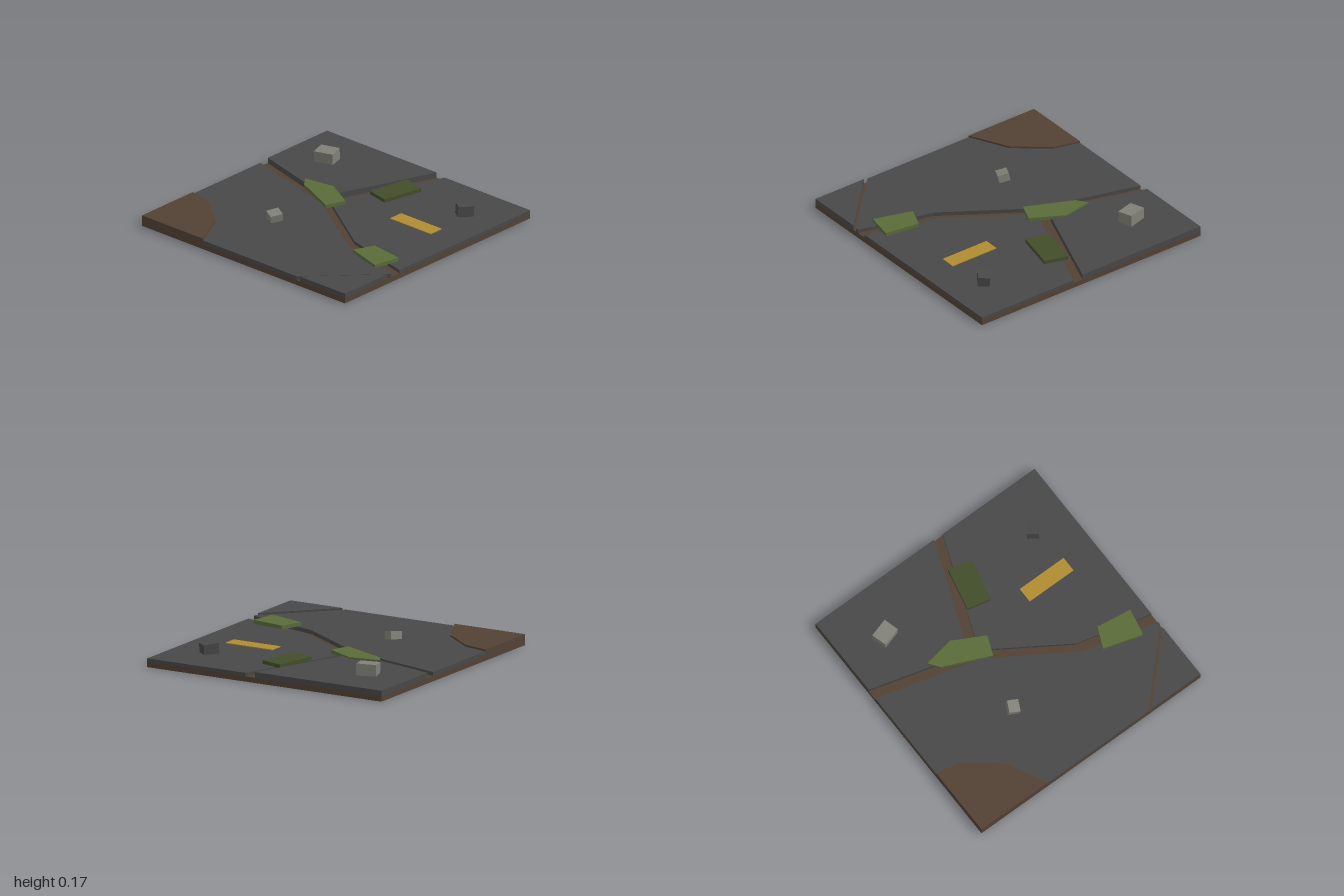
import * as THREE from 'three';

const mat = (name, color) => {
  const m = new THREE.MeshStandardMaterial({ color });
  m.name = name;
  return m;
};

export function createModel() {
  const group = new THREE.Group();
  const asphalt = mat('asphalt', 0x484848);
  const dirt = mat('dirt', 0x524234);
  const moss = mat('moss', 0x5a6b38);
  const darkMoss = mat('dark moss', 0x424d2a);
  const paint = mat('road paint', 0xb08c32);
  const concrete = mat('concrete', 0x808078);

  const add = (name, geometry, material) => {
    const mesh = new THREE.Mesh(geometry, material);
    mesh.name = name;
    group.add(mesh);
    return mesh;
  };

  // Upright prism over an outline of [x, z] points
  const prism = (name, outline, bottom, top, material) => {
    const shape = new THREE.Shape(outline.map(([x, z]) => new THREE.Vector2(x, -z)));
    const g = new THREE.ExtrudeGeometry(shape, { depth: top - bottom, bevelEnabled: false });
    g.rotateX(-Math.PI / 2).translate(0, bottom, 0);
    return add(name, g, material);
  };

  // Earth bed, seen at the bottom of the cracks
  const BED = 0.04;
  add('earthBed', new THREE.BoxGeometry(2, BED, 2).translate(0, BED / 2, 0), dirt);

  // Broken road slabs, settled at different heights
  prism('backRightSlab',
    [[-1, -1], [0.08, -1], [-0.245, -0.15], [-1, -0.36]], BED, 0.082, asphalt);
  prism('backLeftSlab',
    [[0.16, -1], [1, -1], [1, 0.41], [0.42, 0.26], [-0.17, -0.125]], BED, 0.066, asphalt);
  const patchEdge = [[-1, 0.45], [-0.8, 0.5], [-0.55, 0.7], [-0.4, 1]];
  prism('frontSlab',
    [[-1, -0.28], [-0.2, -0.06], [0.42, 0.34], [1, 0.49], [1, 0.515], [0.525, 1],
      ...[...patchEdge].reverse()], BED, 0.07, asphalt);
  prism('cornerSlab', [[1, 0.545], [1, 1], [0.555, 1]], BED, 0.078, asphalt);

  // Bare earth at the front corner
  prism('dirtPatch', [...patchEdge, [-1, 1]], BED, 0.084, dirt);

  // Moss growing over the cracks
  prism('middleMoss',
    [[-0.54, -0.26], [-0.3, -0.3], [-0.06, -0.17], [-0.12, -0.02], [-0.48, -0.18]], 0.066, 0.094, moss);
  prism('sideMoss', [[0.62, 0.26], [0.89, 0.3], [0.85, 0.51], [0.55, 0.42]], 0.066, 0.094, moss);
  prism('backMoss', [[0.02, -0.75], [0.2, -0.7], [0.13, -0.38], [-0.05, -0.42]], 0.064, 0.093, darkMoss);

  // Painted lane mark
  add('laneMark', new THREE.BoxGeometry(0.4, 0.008, 0.12).translate(0.55, 0.068, -0.26), paint);

  // Tilted rubble blocks: name, size, position, rotation, material
  [
    ['largeRubble', [0.15, 0.09, 0.12], [-0.655, 0.122, -0.62], [0.04, 0.28, 0.02], concrete],
    ['smallRubble', [0.085, 0.06, 0.095], [-0.25, 0.108, 0.39], [0.1, -0.45, -0.2], concrete],
    ['darkRubble', [0.088, 0.08, 0.12], [0.7, 0.105, -0.625], [-0.08, -0.62, 0.04], asphalt],
  ].forEach(([name, size, pos, rot, material]) => {
    const block = add(name, new THREE.BoxGeometry(...size), material);
    block.position.set(...pos);
    block.rotation.set(...rot, 'YXZ');
  });

  return group;
}
